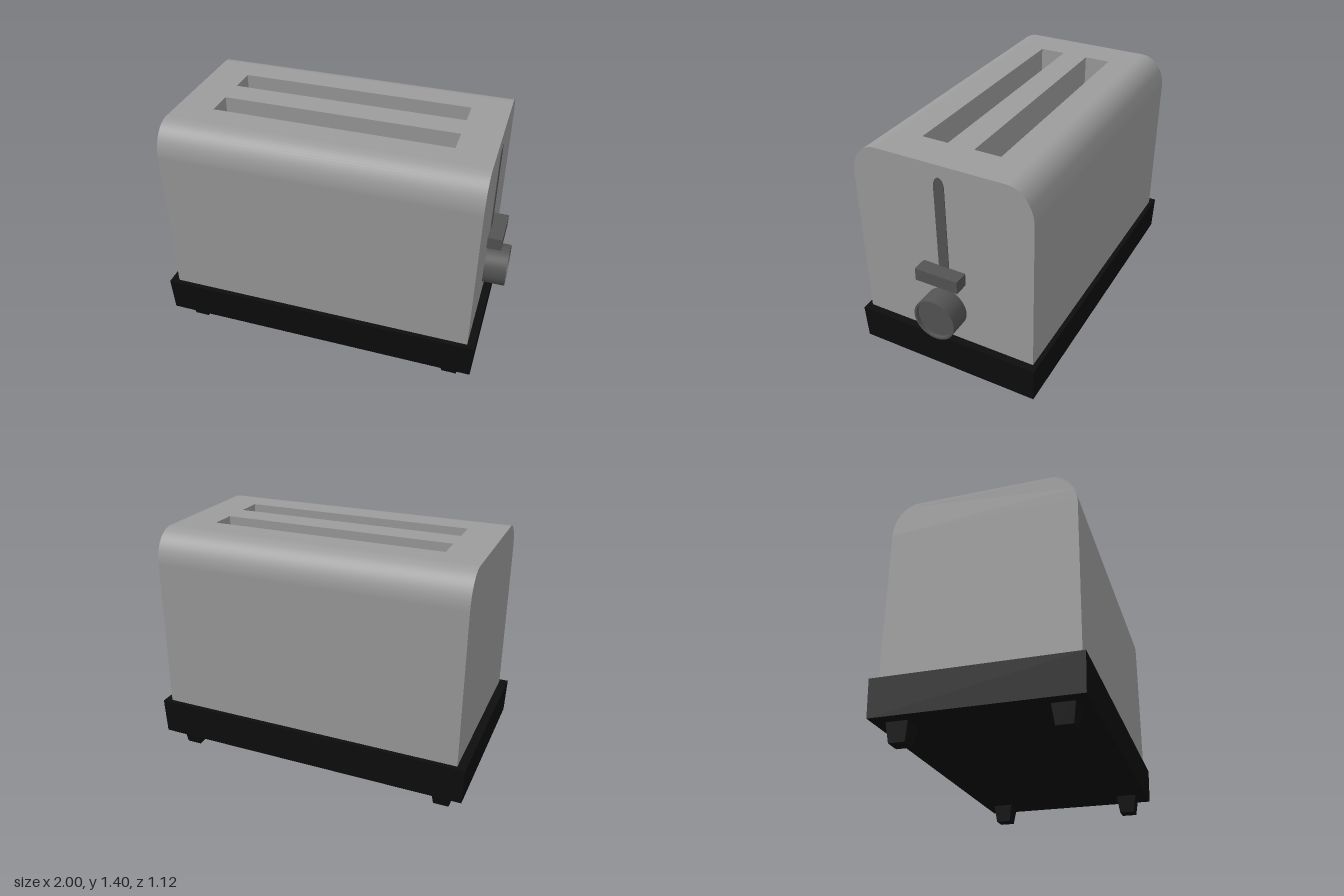
import * as THREE from 'three';
import { mergeGeometries, toCreasedNormals } from 'three/addons/utils/BufferGeometryUtils.js';

const steel = new THREE.MeshStandardMaterial({ color: 0x9c9c9c });
steel.name = 'brushed steel';
const grey = new THREE.MeshStandardMaterial({ color: 0x545454 });
grey.name = 'dark grey plastic';
const black = new THREE.MeshStandardMaterial({ color: 0x0d0d0d });
black.name = 'black plastic';

const HALF_LENGTH = 0.91, HALF_DEPTH = 0.53, BOTTOM = 0.32, TOP = 1.405;
const ROUND_Z = 0.15, ROUND_Y = 0.19, CENTRE_X = -0.04, END_X = 0.87;

function add(parent, name, geometry, material, x = 0, y = 0, z = 0) {
  const mesh = new THREE.Mesh(geometry, material);
  mesh.name = name;
  mesh.position.set(x, y, z);
  parent.add(mesh);
  return mesh;
}

// Box narrowed at its lower end
function taperedBox(w, h, d, bottomW, bottomD) {
  const g = new THREE.BoxGeometry(w, h, d);
  const p = g.attributes.position;
  for (let i = 0; i < p.count; i++) {
    if (p.getY(i) < 0) p.setXYZ(i, p.getX(i) * bottomW / w, p.getY(i), p.getZ(i) * bottomD / d);
  }
  g.computeVertexNormals();
  return g;
}

// One side of the body in (z, y), from the base up over the rounded shoulder
function sideProfile() {
  const points = [new THREE.Vector2(HALF_DEPTH, BOTTOM)];
  for (let i = 0; i <= 16; i++) {
    const a = (i / 16) * Math.PI / 2;
    points.push(new THREE.Vector2(
      HALF_DEPTH - ROUND_Z + ROUND_Z * Math.cos(a),
      TOP - ROUND_Y + ROUND_Y * Math.sin(a)));
  }
  return points;
}

// Side wall and shoulder swept along the length
function sideSkin(profile) {
  const positions = [], index = [];
  profile.forEach((p, i) => {
    positions.push(-HALF_LENGTH, p.y, p.x, HALF_LENGTH, p.y, p.x);
    if (i > 0) {
      const k = 2 * i - 2;
      index.push(k, k + 1, k + 3, k, k + 3, k + 2);
    }
  });
  const g = new THREE.BufferGeometry();
  g.setAttribute('position', new THREE.Float32BufferAttribute(positions, 3));
  g.setIndex(index);
  g.computeVertexNormals();
  return g;
}

// Inward-facing box with no lid
function well(w, h, d) {
  const g = new THREE.BoxGeometry(w, h, d);
  g.setIndex([...g.index.array].filter((_, i) => i < 12 || i >= 18));
  g.clearGroups();
  g.scale(-1, 1, 1);
  g.computeVertexNormals();
  return g;
}

function rectangle(path, x0, x1, y0, y1) {
  path.moveTo(x0, y0).lineTo(x1, y0).lineTo(x1, y1).lineTo(x0, y1).closePath();
  return path;
}

export function createModel() {
  const model = new THREE.Group();
  model.name = 'toaster';

  // Body shell
  const body = new THREE.Group();
  body.name = 'body';
  body.position.x = CENTRE_X;
  model.add(body);

  const profile = sideProfile();
  const skin = sideSkin(profile);
  add(body, 'frontSide', skin, steel);
  add(body, 'backSide', skin, steel).rotation.y = Math.PI;

  const outline = [...profile, ...profile.map(p => new THREE.Vector2(-p.x, p.y)).reverse()];
  const cap = new THREE.ShapeGeometry(new THREE.Shape(outline));
  add(body, 'leftEnd', cap, steel, HALF_LENGTH).rotation.y = Math.PI / 2;
  add(body, 'rightEnd', cap, steel, -HALF_LENGTH).rotation.y = -Math.PI / 2;

  // Top panel with two bread slots
  const slotHalf = 0.6925, slotInner = 0.078, slotOuter = 0.233, slotDepth = 0.7;
  const flat = HALF_DEPTH - ROUND_Z;
  const panel = rectangle(new THREE.Shape(), -HALF_LENGTH, HALF_LENGTH, -flat, flat);
  const wells = [];
  for (const s of [-1, 1]) {
    panel.holes.push(rectangle(new THREE.Path(), -slotHalf, slotHalf, s * slotInner, s * slotOuter));
    wells.push(well(2 * slotHalf, slotDepth, slotOuter - slotInner)
      .translate(0, TOP - slotDepth / 2, s * (slotInner + slotOuter) / 2));
  }
  add(body, 'topPanel', new THREE.ShapeGeometry(panel), steel, 0, TOP).rotation.x = -Math.PI / 2;
  add(body, 'breadSlots', mergeGeometries(wells), steel);

  // Lever track with rounded ends
  const track = new THREE.Shape();
  track.absellipse(0, 1.275, 0.031, 0.06, 0, Math.PI, false);
  track.absellipse(0, 0.755, 0.031, 0.06, Math.PI, 2 * Math.PI, false);
  track.closePath();
  const trackPlate = new THREE.ExtrudeGeometry(track, { depth: 0.004, bevelEnabled: false, curveSegments: 12 });
  add(model, 'leverTrack', trackPlate, grey, END_X).rotation.y = Math.PI / 2;

  // Lever handle
  add(model, 'lever', new THREE.BoxGeometry(0.085, 0.075, 0.258), grey, END_X + 0.0425, 0.752, 0);

  // Dial with a dished face
  const dial = new THREE.LatheGeometry([
    [0.125, 0], [0.125, 0.13], [0.113, 0.13], [0.113, 0.11], [0, 0.11],
  ].map(([r, h]) => new THREE.Vector2(r, h)), 40);
  add(model, 'dial', toCreasedNormals(dial, 0.6), grey, END_X, 0.515, 0).rotation.z = -Math.PI / 2;

  // Base tray and feet
  add(model, 'base', taperedBox(1.915, 0.213, 1.115, 1.9, 1.105), black, -0.0425, 0.2135, 0);
  const foot = taperedBox(0.122, 0.11, 0.122, 0.09, 0.09);
  for (const x of [-0.86, 0.775]) {
    for (const z of [-0.425, 0.425]) add(model, 'foot', foot, black, x, 0.055, z);
  }

  return model;
}
